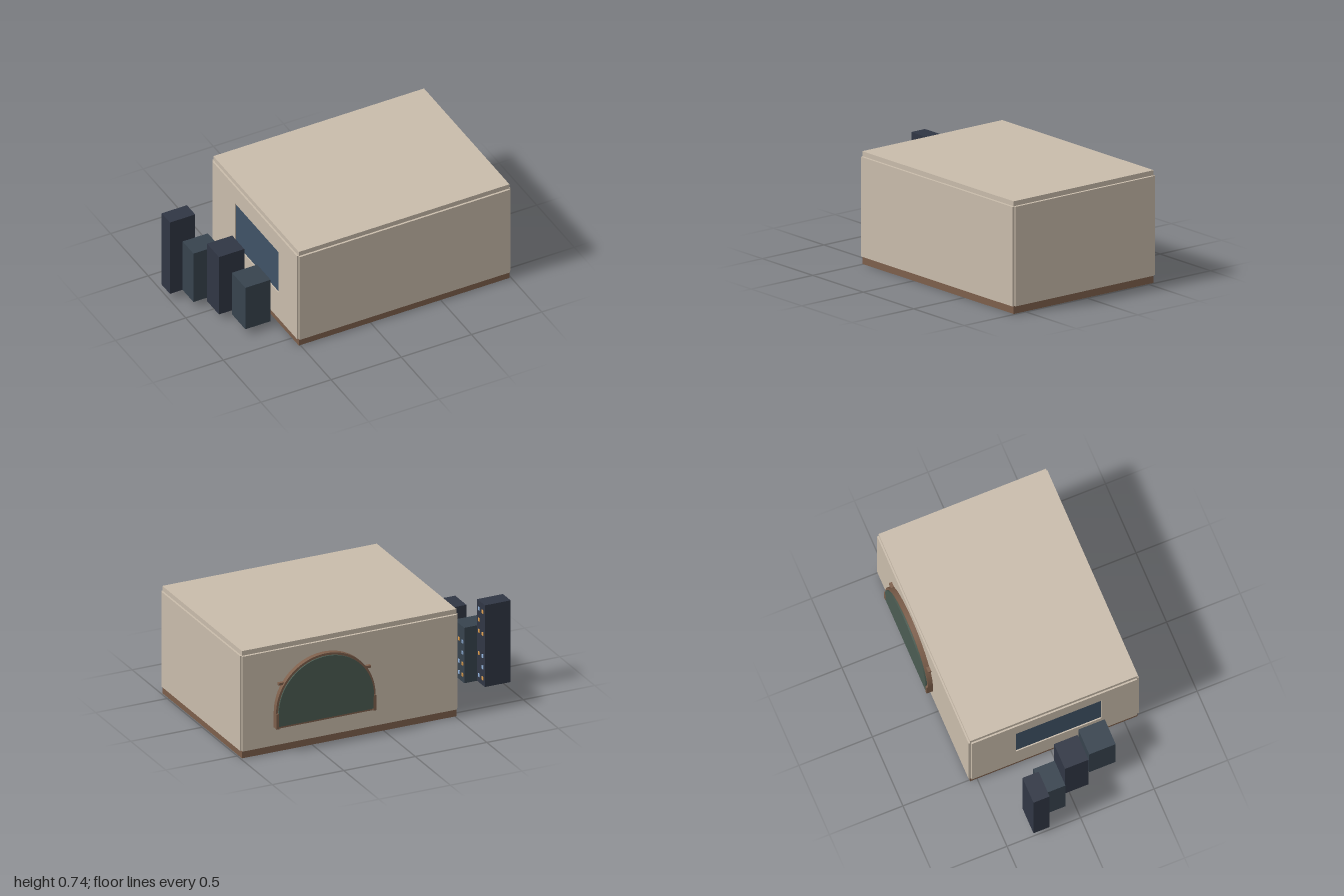
import * as THREE from 'three';

const mat = (color) => new THREE.MeshStandardMaterial({ color });
const plaster = mat(0xc9bcab), wood = mat(0x7d5f4b), greenGlass = mat(0x4b5c52), blueGlass = mat(0x3f5266);
const towerMats = [mat(0x303644), mat(0x37434e)];
const litMats = [mat(0xe0a050), mat(0x8fb0d8)];

export function createModel() {
  const model = new THREE.Group();

  const add = (parent, name, geometry, material) => {
    const mesh = new THREE.Mesh(geometry, material);
    mesh.name = name;
    parent.add(mesh);
    return mesh;
  };
  // Box given by its limits on each axis
  const box = (parent, name, material, [x0, x1], [y0, y1], [z0, z1]) => {
    const mesh = add(parent, name, new THREE.BoxGeometry(x1 - x0, y1 - y0, z1 - z0), material);
    mesh.position.set((x0 + x1) / 2, (y0 + y1) / 2, (z0 + z1) / 2);
    return mesh;
  };
  const group = (name) => {
    const g = new THREE.Group();
    g.name = name;
    model.add(g);
    return g;
  };

  // Room shell
  const X = [-0.51, 0.99], Y = [0.05, 0.7];
  box(model, 'floor', wood, X, [0, 0.05], [-0.547, 0.59]);
  box(model, 'ceiling', plaster, X, [0.703, 0.735], [-0.547, 0.59]);
  box(model, 'frontWall', plaster, X, Y, [0.583, 0.6]);
  box(model, 'leftWall', plaster, [0.982, 1], Y, [-0.54, 0.583]);

  // Side wall with a rectangular window
  const side = group('rightWall'), sx = [-0.52, -0.503];
  box(side, 'wallBelowWindow', plaster, sx, [0.05, 0.25], [-0.54, 0.583]);
  box(side, 'wallAboveWindow', plaster, sx, [0.57, 0.7], [-0.54, 0.583]);
  box(side, 'wallBackOfWindow', plaster, sx, [0.25, 0.57], [-0.54, -0.24]);
  box(side, 'wallFrontOfWindow', plaster, sx, [0.25, 0.57], [0.34, 0.583]);
  box(side, 'sideWindowPane', blueGlass, [-0.512, -0.507], [0.25, 0.57], [-0.24, 0.34]);

  // Back wall: two plain panels and a middle panel with an arched opening
  const back = group('backWall'), bz = [-0.557, -0.54];
  const cx = 0.425, springY = 0.28, sillY = 0.175, outer = 0.348, inner = 0.328;
  box(back, 'wallPanelRight', plaster, [X[0], cx - outer], Y, bz);
  box(back, 'wallPanelLeft', plaster, [cx + outer, X[1]], Y, bz);

  const arch = (target, r, bottom) => {
    target.moveTo(-r, bottom);
    target.lineTo(r, bottom);
    target.lineTo(r, springY);
    target.absarc(0, springY, r, 0, Math.PI, false);
    target.closePath();
    return target;
  };
  const extrude = (name, shape, depth, z, material, parent) => {
    const geo = new THREE.ExtrudeGeometry(shape, { depth, bevelEnabled: false, curveSegments: 40 });
    add(parent, name, geo, material).position.set(cx, 0, z);
  };
  const panel = new THREE.Shape();
  panel.moveTo(-outer, 0.05).lineTo(outer, 0.05).lineTo(outer, 0.7).lineTo(-outer, 0.7).closePath();
  panel.holes.push(arch(new THREE.Path(), inner, sillY));
  extrude('wallPanelArched', panel, 0.017, bz[0], plaster, back);

  // Arched window: curved band, straight jambs, sill, glass and pegs
  const win = group('archedWindow');
  const band = new THREE.Shape();
  band.absarc(0, springY, outer, 0, Math.PI, false);
  band.absarc(0, springY, inner, Math.PI, 0, true);
  extrude('archBand', band, 0.05, -0.59, wood, win);
  extrude('archGlass', arch(new THREE.Shape(), 0.333, 0.19), 0.01, -0.6, greenGlass, win);
  box(win, 'windowSill', wood, [cx - inner, cx + inner], [sillY, 0.19], [-0.59, -0.54]);
  for (const s of [-1, 1]) {
    const x = cx + s * 0.338;
    box(win, 'windowJamb', wood, [x - 0.01, x + 0.01], [sillY, springY], [-0.6, -0.54]);
    const a = Math.PI / 2 - s * (Math.PI / 2 - 0.56);
    const peg = add(win, 'framePeg', new THREE.BoxGeometry(0.036, 0.016, 0.022), wood);
    peg.position.set(cx + Math.cos(a) * 0.36, springY + Math.sin(a) * 0.36, -0.567);
  }

  // Towers outside the side window, with lit windows facing the room
  const towers = [
    { x: -1, z: [-0.32, -0.21], top: 0.61, cols: 2 },
    { x: -0.91, z: [-0.21, -0.065], top: 0.43, cols: 3 },
    { x: -0.83, z: [-0.035, 0.125], top: 0.5, cols: 3 },
    { x: -0.757, z: [0.16, 0.34], top: 0.375, cols: 3 },
  ];
  towers.forEach(({ x, z, top, cols }, i) => {
    const tower = group('tower' + (i + 1));
    box(tower, 'towerBody', towerMats[i % 2], [x, x + 0.18], [0.05, top], z);
    const rows = Math.floor((top - 0.07) / 0.076);
    for (let r = 0; r < rows; r++) {
      for (let c = 0; c < cols; c++) {
        const pick = (r * 5 + c * 3 + i * 2) % 7;
        if (pick === 1 || pick === 4) continue;
        const y = 0.1 + r * 0.076;
        const zc = z[0] + (z[1] - z[0]) * (c + 0.5) / cols;
        box(tower, 'litWindow', litMats[pick % 2], [x + 0.178, x + 0.185],
          [y - 0.011, y + 0.011], [zc - 0.009, zc + 0.009]);
      }
    }
  });
  return model;
}
